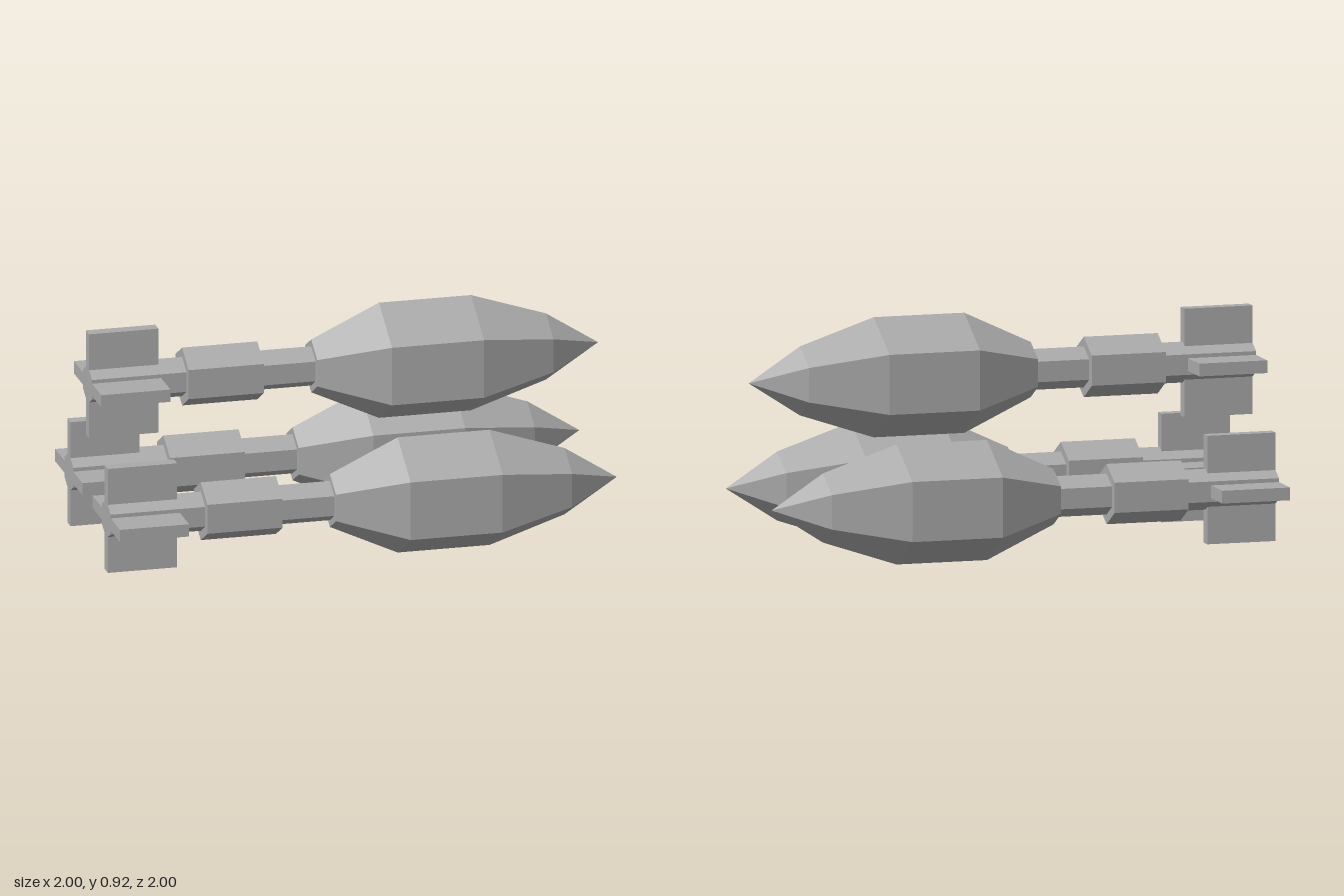
import * as THREE from 'three';

const metal = new THREE.MeshStandardMaterial({ color: 0xaaaaaa, flatShading: true });
metal.name = 'grey metal';

// Hexagonal solid of revolution along local +z, with an edge facing up.
// The profile lists [radius, distance along the axis] from tail to nose.
function hexSolid(name, profile) {
  const points = profile.map(([r, s]) => new THREE.Vector2(r, s));
  const geometry = new THREE.LatheGeometry(points, 6).rotateX(Math.PI / 2);
  const mesh = new THREE.Mesh(geometry, metal);
  mesh.name = name;
  return mesh;
}

const prism = (name, r, from, to) => hexSolid(name, [[0, from], [r, from], [r, to], [0, to]]);

function createShell(name) {
  const shell = new THREE.Group();
  shell.name = name;

  // Pointed body
  shell.add(hexSolid('body', [
    [0, -0.02], [0.108, -0.02], [0.235, 0.25], [0.235, 0.617], [0.135, 0.916], [0, 1.124],
  ]));

  // Tail rod and its thicker sleeve
  shell.add(prism('tailRod', 0.08, -0.912, 0));
  shell.add(prism('sleeve', 0.118, -0.535, -0.235));

  // Four tail fins
  const finReach = 0.212;
  for (let i = 0; i < 4; i++) {
    const geometry = new THREE.BoxGeometry(finReach - 0.02, 0.05, 0.276);
    geometry.translate((finReach + 0.02) / 2, 0, -0.774);
    const fin = new THREE.Mesh(geometry, metal);
    fin.name = 'tailFin';
    fin.rotation.z = (i * Math.PI) / 2;
    shell.add(fin);
  }
  return shell;
}

export function createModel() {
  const model = new THREE.Group();
  model.name = 'shellStack';

  // Two shells below and one above, all pointing diagonally to the back
  const places = [
    ['lowerShellBack', -0.205, 0.236],
    ['lowerShellFront', 0.205, 0.236],
    ['upperShell', 0, 0.69],
  ];
  for (const [name, offset, height] of places) {
    const shell = createShell(name);
    shell.position.set(offset, height, offset);
    shell.rotation.y = (3 * Math.PI) / 4;
    model.add(shell);
  }
  return model;
}
